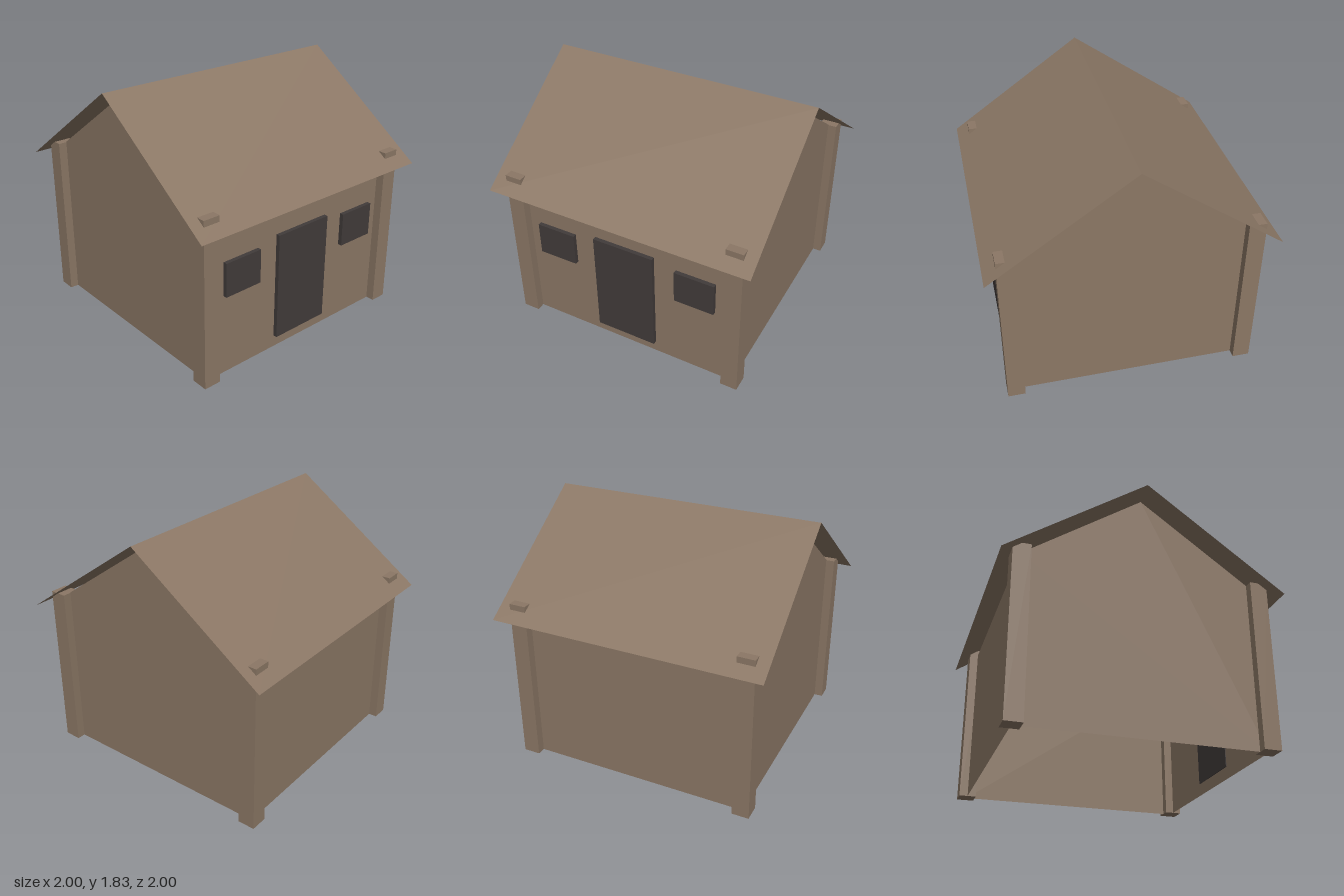
import * as THREE from 'three';

const WALL = 0.85, EAVE = 1.195, PEAK = 1.79; // wall planes and gable heights

export function createModel() {
  const model = new THREE.Group();
  model.name = 'hut';
  const wood = new THREE.MeshStandardMaterial({ color: 0x8b7765, side: THREE.DoubleSide });
  wood.name = 'brown wood';
  const dark = new THREE.MeshStandardMaterial({ color: 0x413b3a });
  dark.name = 'dark openings';

  const add = (name, geometry, material, x = 0, y = 0, z = 0) => {
    const mesh = new THREE.Mesh(geometry, material);
    mesh.name = name;
    mesh.position.set(x, y, z);
    model.add(mesh);
    return mesh;
  };
  const box = (name, w, h, d, material, x, y, z) =>
    add(name, new THREE.BoxGeometry(w, h, d), material, x, y, z);

  // Gable outline, drawn across the depth of the hut
  const gable = new THREE.Shape();
  gable.moveTo(-WALL, 0);
  gable.lineTo(WALL, 0);
  gable.lineTo(WALL, EAVE);
  gable.lineTo(0, PEAK);
  gable.lineTo(-WALL, EAVE);
  gable.closePath();

  // Thin roof slope: ridge at z = 0, eave one unit out
  const rise = 0.7;
  const slope = new THREE.PlaneGeometry(2, Math.hypot(1, rise));
  slope.rotateX(-Math.atan2(1, rise)).translate(0, 1.13 + rise / 2, 0.5);

  for (const s of [1, -1]) {
    const end = s > 0 ? 'front' : 'back';
    const side = s > 0 ? 'left' : 'right';
    const turn = s > 0 ? 0 : Math.PI;

    // Open, thin walls
    add(end + 'Wall', new THREE.PlaneGeometry(2 * WALL, EAVE), wood, 0, EAVE / 2, s * WALL).rotation.y = turn;
    add(side + 'GableWall', new THREE.ShapeGeometry(gable), wood, s * WALL).rotation.y = s * Math.PI / 2;
    add(end + 'RoofSlope', slope, wood).rotation.y = turn;

    // Corner posts, poking through the roof
    for (const e of [1, -1])
      box('cornerPost', 0.125, 1.235, 0.125, wood, s * WALL, 1.235 / 2, e * WALL);

    // Windows beside the door
    box(side + 'Window', 0.3, 0.25, 0.035, dark, s * 0.552, 0.727, 0.8625);
  }

  // Door, set through the front wall
  box('door', 0.468, 0.805, 0.035, dark, 0, 0.493, 0.8625);

  return model;
}
